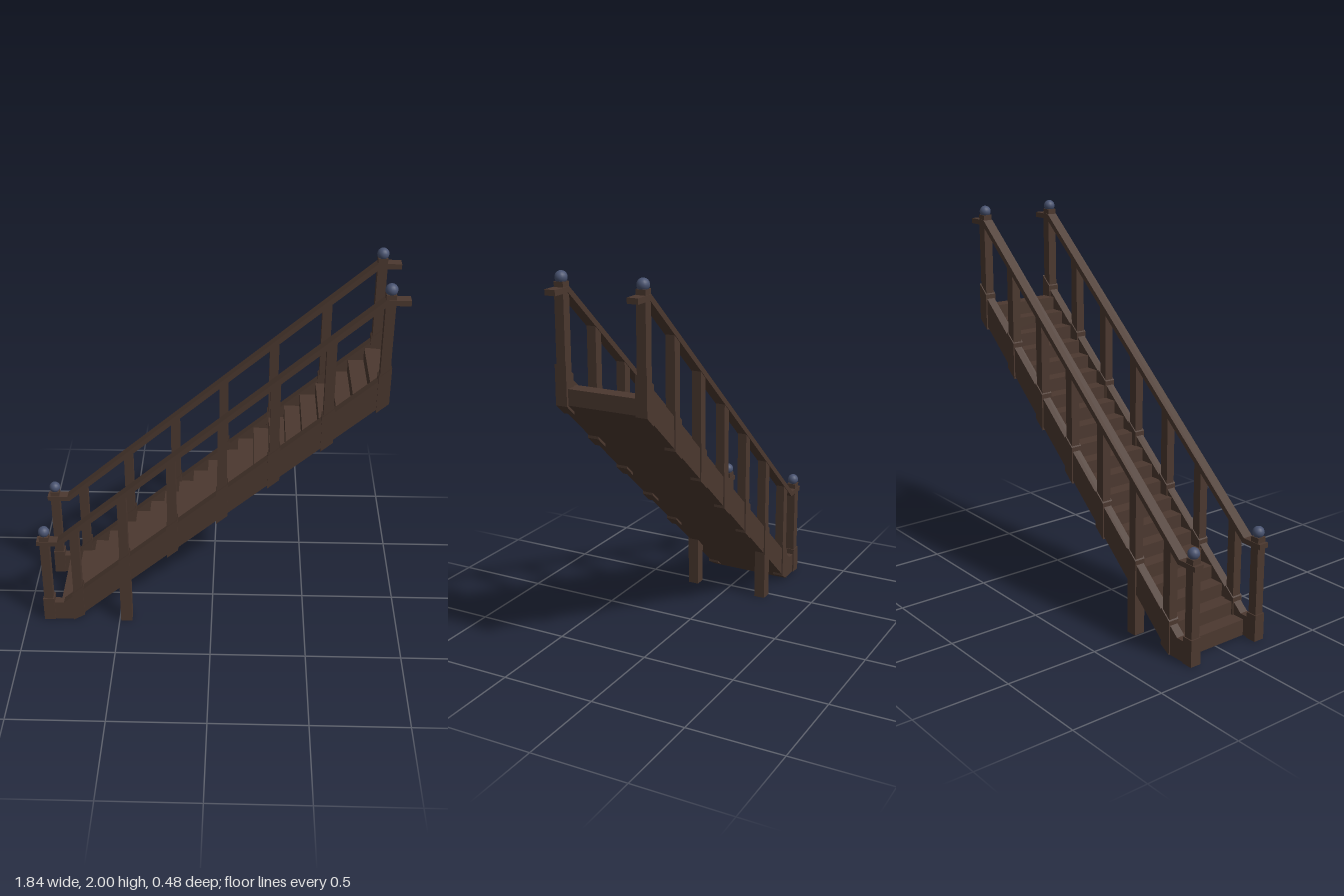
import * as THREE from 'three';

const wood = new THREE.MeshStandardMaterial({ color: 0x4b382f });
wood.name = 'dark wood';
const iron = new THREE.MeshStandardMaterial({ color: 0x48526f });
iron.name = 'blue grey metal';

const SLOPE = 0.872;
const SIDE = 0.21;              // z distance of each balustrade
const under = x => 0.636 + SLOPE * x;    // lower line of the post bases
const baseTop = x => 0.83 + SLOPE * x;   // upper line of the post bases
const railUnder = x => 1.2 + SLOPE * x;

// Side profile in x/y, extruded symmetrically about z = 0
function slab(name, points, width) {
  const shape = new THREE.Shape(points.map(p => new THREE.Vector2(p[0], p[1])));
  const geometry = new THREE.ExtrudeGeometry(shape, { depth: width, bevelEnabled: false });
  geometry.translate(0, 0, -width / 2);
  const mesh = new THREE.Mesh(geometry, wood);
  mesh.name = name;
  return mesh;
}

// Upright with separately chosen heights at its left and right edges
function upright(name, x, half, bottom, top) {
  const a = x - half, b = x + half;
  return slab(name, [[a, bottom(a)], [b, bottom(b)], [b, top(b)], [a, top(a)]], half * 2);
}

function knob(x, y) {
  const mesh = new THREE.Mesh(new THREE.SphereGeometry(0.03, 16, 12), iron);
  mesh.name = 'knob';
  mesh.position.set(x, y, 0);
  return mesh;
}

function balustrade() {
  const g = new THREE.Group();

  // Sloping side board with a level foot
  g.add(slab('stringer', [
    [-0.88, 0], [-0.745, 0], [0.845, 0.65 + SLOPE * 0.845],
    [0.845, 0.806 + SLOPE * 0.845], [-0.8, 0.11], [-0.88, 0.11],
  ], 0.046));

  // Handrail, level at both ends
  g.add(slab('handrail', [
    [-0.92, 0.492], [-0.8, 0.492], [0.815, 1.9], [0.92, 1.9],
    [0.92, 1.927], [0.805, 1.927], [-0.81, 0.518], [-0.92, 0.518],
  ], 0.055));

  // Foot newel
  g.add(upright('newelBase', -0.88, 0.03, () => 0, () => 0.14));
  g.add(upright('newelPost', -0.88, 0.024, () => 0.14, () => 0.545));
  g.add(knob(-0.88, 0.567));

  // Evenly spaced posts up the slope; the second one reaches the floor
  for (let i = 0; i < 7; i++) {
    const x = -0.72 + i * 0.2578;
    const bottom = i === 1 ? () => 0 : v => Math.max(0, under(v));
    g.add(upright('postBase', x, 0.03, bottom, baseTop));
    g.add(upright('post', x, 0.024, baseTop, i === 6 ? () => 1.952 : v => railUnder(v) + 0.005));
  }
  g.add(knob(0.827, 1.97));
  return g;
}

function stairs() {
  const count = 21, start = -0.82, end = 0.845, run = (end - start) / count, rise = 0.069;
  const points = [[start, 0], [-0.745, 0], [end, 0.65 + SLOPE * end]];
  // Walk down the steps from the top
  for (let i = count - 1; i >= 0; i--) {
    const y = 0.085 + i * rise;
    points.push([start + (i + 1) * run, y], [start + i * run, y]);
  }
  return slab('steps', points, 0.376);
}

export function createModel() {
  const model = new THREE.Group();
  model.name = 'staircase';
  model.add(stairs());
  for (const s of [1, -1]) {
    const side = balustrade();
    side.name = s > 0 ? 'frontBalustrade' : 'backBalustrade';
    side.position.z = s * SIDE;
    model.add(side);
  }
  return model;
}
